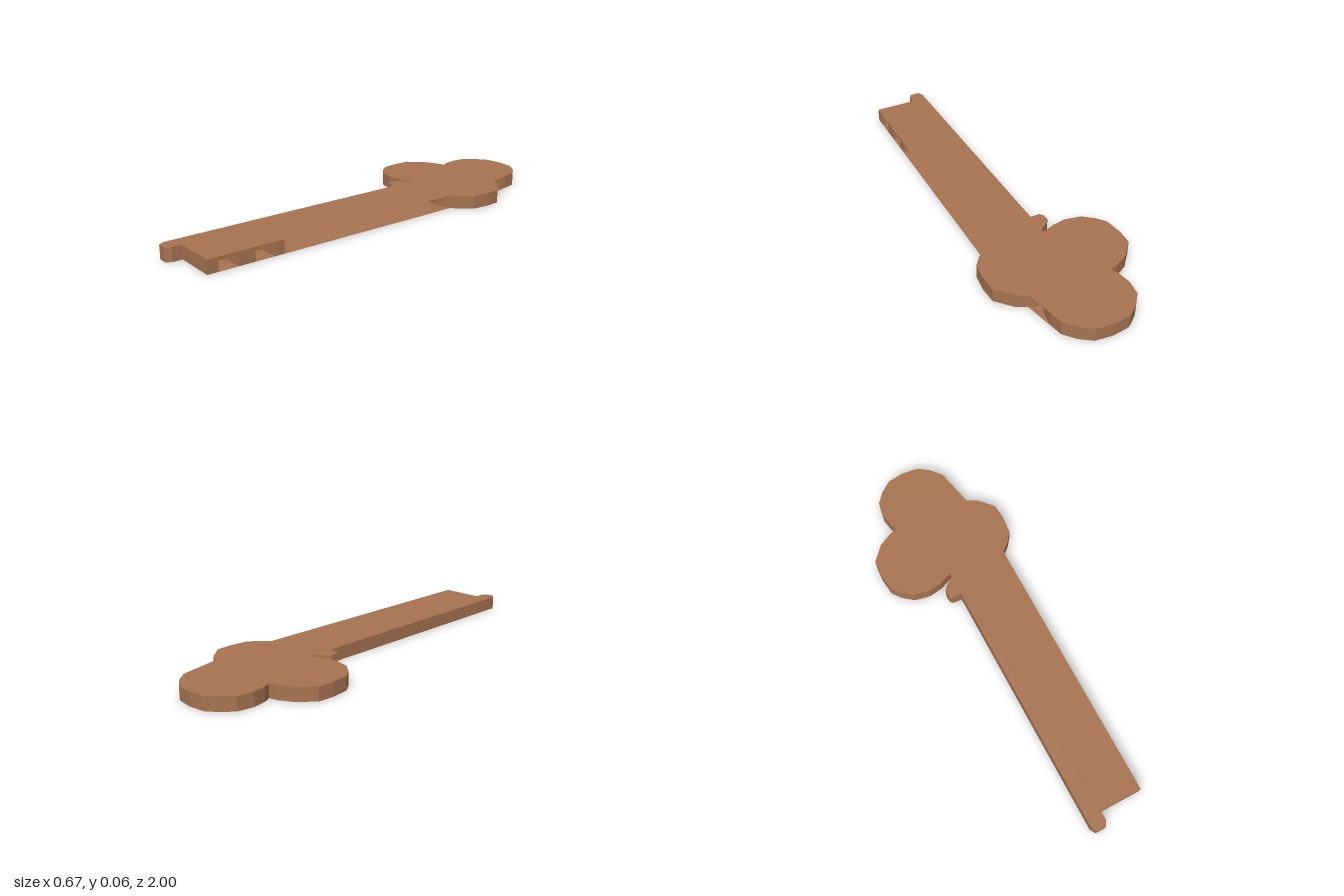
import * as THREE from 'three';

const H = 0.064; // thickness of the key

// Left half outlines as [x, z]; the right half is mirrored from these
const bow = [
  [0, -1], [-0.08, -0.99], [-0.135, -0.95], [-0.177, -0.9], [-0.188, -0.83],
  [-0.177, -0.765], [-0.16, -0.73], [-0.2, -0.72], [-0.267, -0.685], [-0.33, -0.615],
  [-0.335, -0.54], [-0.325, -0.455], [-0.29, -0.41], [-0.24, -0.37], [-0.165, -0.355],
  [-0.1, -0.365], [-0.037, -0.39],
];
const collar = [
  [-0.037, -0.37], [-0.08, -0.34], [-0.095, -0.32], [-0.095, -0.285], [-0.08, -0.27], [-0.037, -0.27],
];
const tip = [[-0.037, 0.975], [-0.022, 1]];

// Toothed bit on the left (+x) side, from the tip back to the shaft
const bit = [
  [0.037, 0.93], [0.24, 0.93], [0.24, 0.88], [0.14, 0.88], [0.14, 0.79], [0.24, 0.79],
  [0.24, 0.71], [0.14, 0.71], [0.14, 0.62], [0.24, 0.62], [0.24, 0.57], [0.037, 0.57],
];

const mirror = (pts) => pts.map(([x, z]) => [-x, z]).reverse();

// Vertical band following a closed outline
function wallGeometry(pts) {
  const pos = [];
  pts.forEach(([ax, az], i) => {
    const [bx, bz] = pts[(i + 1) % pts.length];
    pos.push(ax, 0, az, bx, 0, bz, bx, H, bz, ax, 0, az, bx, H, bz, ax, H, az);
  });
  const g = new THREE.BufferGeometry();
  g.setAttribute('position', new THREE.Float32BufferAttribute(pos, 3));
  g.computeVertexNormals();
  return g;
}

// Flat plate facing up or down
function plateGeometry(pts, up) {
  const s = up ? -1 : 1;
  const shape = new THREE.Shape(pts.map(([x, z]) => new THREE.Vector2(x, s * z)));
  return new THREE.ShapeGeometry(shape).rotateX(s * Math.PI / 2);
}

export function createModel() {
  const group = new THREE.Group();
  group.name = 'key';
  const bronze = new THREE.MeshStandardMaterial({ color: 0xa87451, flatShading: true, side: THREE.DoubleSide });
  bronze.name = 'bronze';

  const left = [...bow, ...collar, ...tip];
  const walls = [...left, ...mirror(tip), ...bit, ...mirror(collar), ...mirror(bow.slice(1))];

  // The plates run straight from bow to bit, overhanging the shaft and teeth
  const plate = [
    ...left, ...mirror(tip), [0.037, 0.93], [0.24, 0.93],
    [0.248, -0.375], ...mirror(bow.slice(8, 13)), [0.218, -0.71], ...mirror(bow.slice(1, 4)),
  ];

  const add = (name, geometry, y) => {
    const mesh = new THREE.Mesh(geometry, bronze);
    mesh.name = name;
    mesh.position.y = y;
    group.add(mesh);
  };
  add('keyWalls', wallGeometry(walls), 0);
  add('topPlate', plateGeometry(plate, true), H);
  add('bottomPlate', plateGeometry(plate, false), 0);
  return group;
}
